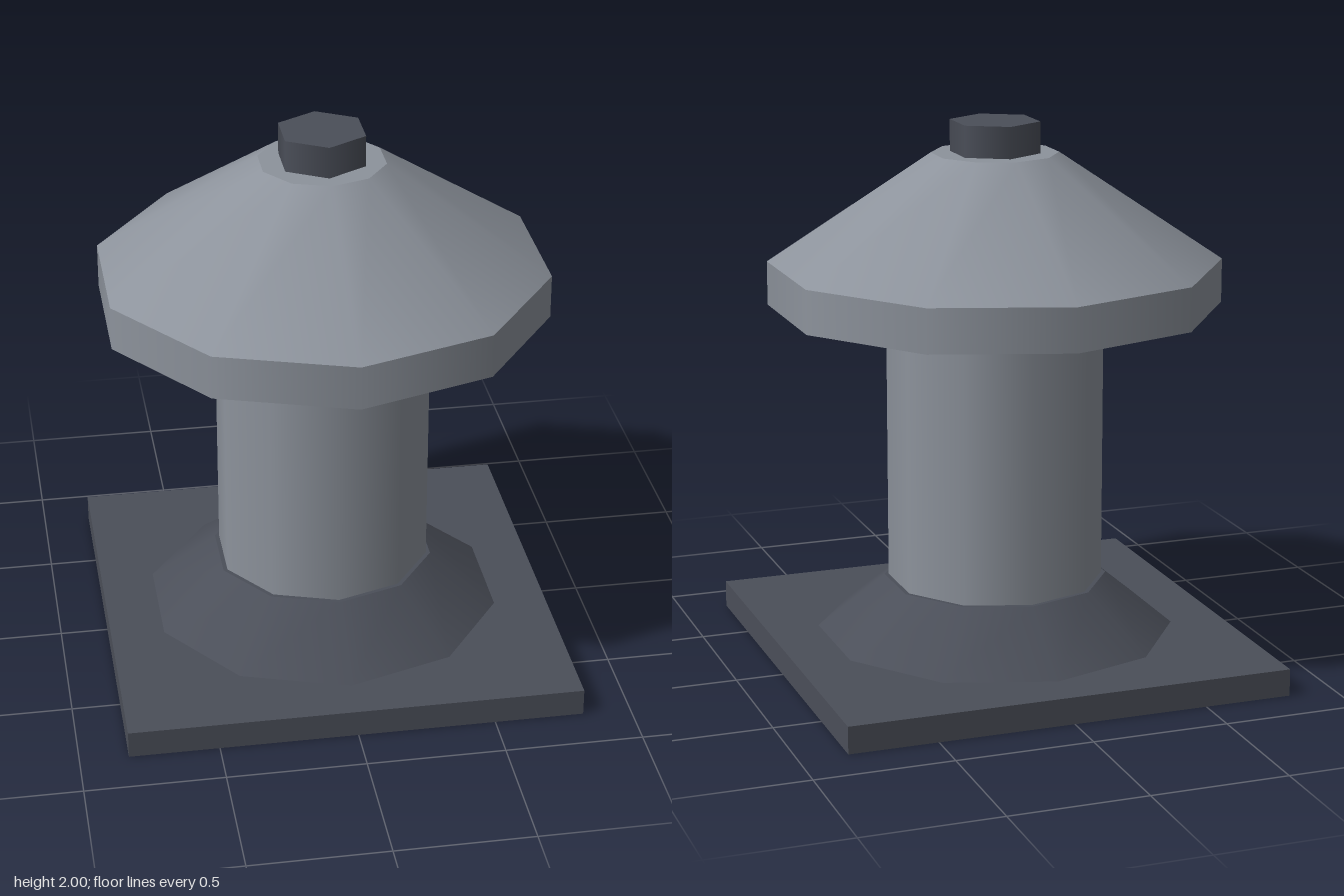
import * as THREE from 'three';

const lightSteel = new THREE.MeshStandardMaterial({ color: 0x8d939c });
lightSteel.name = 'lightSteel';
const darkSteel = new THREE.MeshStandardMaterial({ color: 0x4b4f59 });
darkSteel.name = 'darkSteel';

export function createModel() {
  const model = new THREE.Group();
  model.name = 'ventPost';

  const add = (name, geometry, material, y) => {
    const mesh = new THREE.Mesh(geometry, material);
    mesh.name = name;
    mesh.position.y = y;
    model.add(mesh);
  };

  // A smooth-shaded ring of few sides, with a corner facing +z
  const drum = (name, rTop, rBottom, y0, y1, sides, material, open = false) =>
    add(name, new THREE.CylinderGeometry(rTop, rBottom, y1 - y0, sides, 1, open), material, (y0 + y1) / 2);

  // Square base plate and sloped foot
  add('basePlate', new THREE.BoxGeometry(1.65, 0.1, 1.65), darkSteel, 0.05);
  drum('foot', 0.412, 0.66, 0.1, 0.3, 10, darkSteel);

  // Column
  drum('column', 0.396, 0.396, 0.3, 1.33, 10, lightSteel);

  // Cap: straight rim below a sloped roof
  drum('capRim', 0.825, 0.825, 1.33, 1.49, 10, lightSteel);
  drum('capRoof', 0.231, 0.825, 1.49, 1.885, 10, lightSteel);

  // Six-sided bolt on top
  drum('topBolt', 0.165, 0.165, 1.885, 2, 6, darkSteel);

  return model;
}
